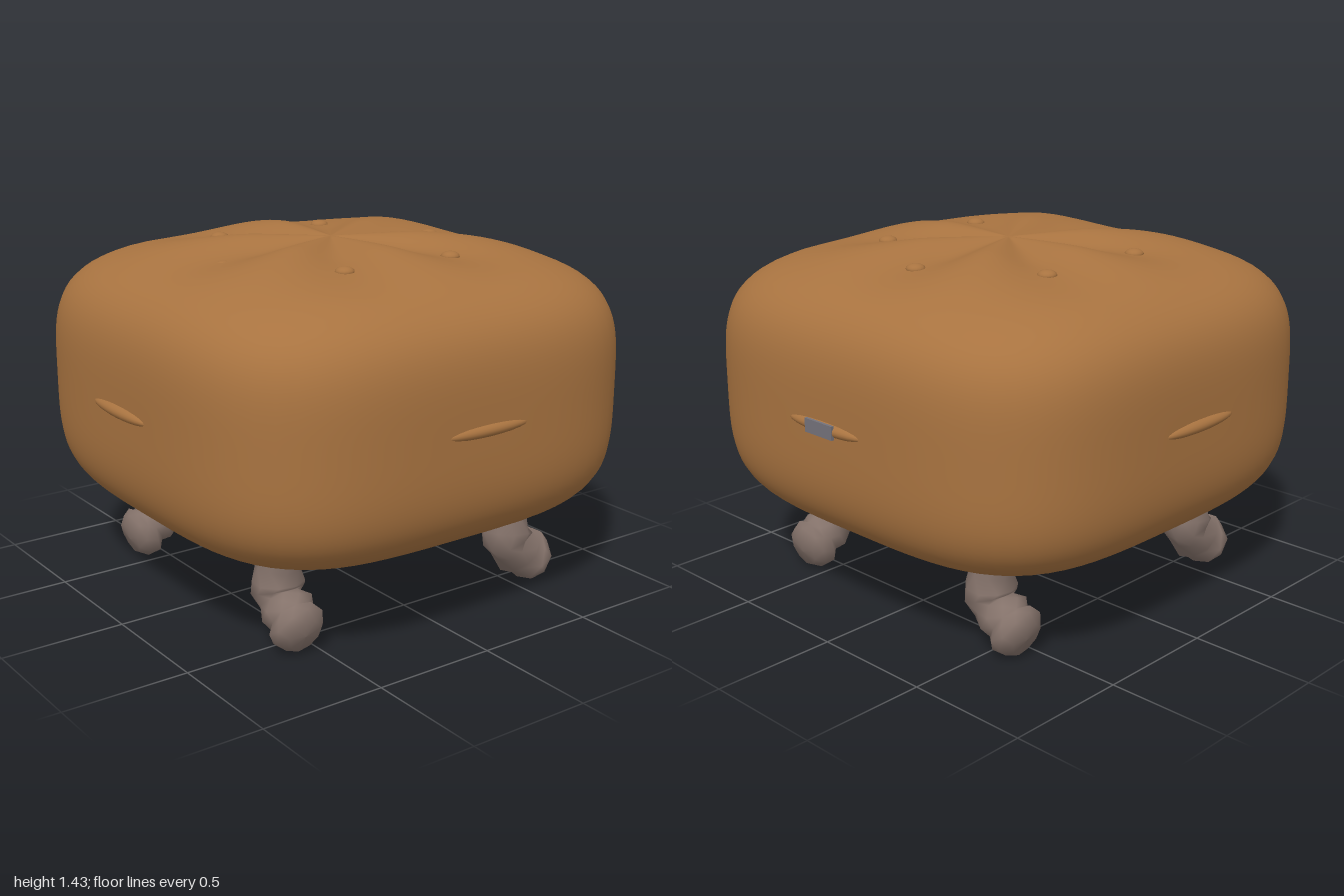
import * as THREE from 'three';
import { mergeVertices } from 'three/addons/utils/BufferGeometryUtils.js';

const mat = (name, color) => {
  const m = new THREE.MeshStandardMaterial({ color });
  m.name = name;
  return m;
};

// Height change of the tufted top: raised centre, six dips under the buttons
function tuft(x, z) {
  const r = Math.hypot(x, z);
  const a = Math.atan2(z, x);
  const fold = Math.min(1, r / 0.35) * Math.max(0, 1 - Math.pow(r / 0.85, 3));
  return 0.03 * Math.max(0, 1 - r / 0.9) - 0.026 * fold * Math.cos(6 * a);
}

const HALF = 0.975, HEIGHT = 0.545, MID = 0.845;

function topHeight(x, z) {
  const q = Math.pow(Math.abs(x / HALF), 3.7) + Math.pow(Math.abs(z / HALF), 3.7);
  return MID + HEIGHT * Math.pow(1 - Math.pow(q, 4 / 3.7), 0.25) + tuft(x, z);
}

// Soft square cushion: a sphere pushed out to a superellipsoid
function cushionGeometry() {
  let g = new THREE.SphereGeometry(1, 96, 80);
  g.deleteAttribute('uv');
  g.deleteAttribute('normal');
  g = mergeVertices(g, 1e-5);
  const p = g.attributes.position;
  for (let i = 0; i < p.count; i++) {
    const x = p.getX(i), y = p.getY(i), z = p.getZ(i);
    const plan = Math.pow(Math.pow(Math.abs(x), 3.7) + Math.pow(Math.abs(z), 3.7), 1 / 3.7);
    const k = 1 / Math.pow(Math.pow(plan, 4) + Math.pow(Math.abs(y), 4), 0.25);
    const px = x * k * HALF, pz = z * k * HALF;
    let py = MID + y * k * HEIGHT;
    if (y > 0) py += tuft(px, pz) * Math.pow(y * k, 4);
    p.setXYZ(i, px, py, pz);
  }
  g.computeVertexNormals();
  return g;
}

// Gnarled leg: rings of varying radius along a bent path [x, y, radius]
function legGeometry() {
  const path = [
    [0.48, 0.38, 0.08], [0.47, 0.31, 0.085], [0.46, 0.25, 0.1], [0.465, 0.21, 0.105],
    [0.485, 0.175, 0.085], [0.525, 0.145, 0.105], [0.555, 0.125, 0.09],
    [0.58, 0.11, 0.11], [0.615, 0.095, 0.105], [0.645, 0.085, 0.07], [0.65, 0.083, 0]
  ];
  const sides = 9, pos = [], idx = [];
  path.forEach(([x, y, r], i) => {
    const a = path[Math.max(0, i - 1)], b = path[Math.min(path.length - 1, i + 1)];
    const len = Math.hypot(b[0] - a[0], b[1] - a[1]);
    const nx = -(b[1] - a[1]) / len, ny = (b[0] - a[0]) / len;
    for (let j = 0; j < sides; j++) {
      const t = (j / sides) * Math.PI * 2 + i * 0.25;
      const rr = r * (1 + 0.06 * Math.sin(3 * t + i * 2));
      pos.push(x + nx * Math.cos(t) * rr, Math.max(0, y + ny * Math.cos(t) * rr), 0.58 + Math.sin(t) * rr);
      if (i < path.length - 1) {
        const c = i * sides + j, d = i * sides + (j + 1) % sides;
        idx.push(c, d, c + sides, d, d + sides, c + sides);
      }
    }
  });
  const g = new THREE.BufferGeometry();
  g.setAttribute('position', new THREE.Float32BufferAttribute(pos, 3));
  g.setIndex(idx);
  g.computeVertexNormals();
  return g;
}

export function createModel() {
  const model = new THREE.Group();
  model.name = 'ottoman';
  const leather = mat('tan leather', 0xa87340);
  const wood = mat('weathered wood', 0x84726a);
  wood.side = THREE.DoubleSide;
  const metal = mat('grey metal', 0x74727a);

  const add = (name, geometry, material, parent = model) => {
    const m = new THREE.Mesh(geometry, material);
    m.name = name;
    parent.add(m);
    return m;
  };

  add('cushion', cushionGeometry(), leather);

  // Ring of tufting buttons; the one on the right is sunk deeper
  const buttonGeo = new THREE.SphereGeometry(0.038, 14, 10);
  for (let i = 0; i < 6; i++) {
    const a = (i * Math.PI) / 3;
    const x = 0.505 * Math.cos(a), z = 0.505 * Math.sin(a);
    const b = add('button', buttonGeo, leather);
    b.position.set(x, topHeight(x, z) - (i === 3 ? 0.017 : 0), z);
    b.scale.y = 0.55;
  }

  // Slim raised pulls and legs, repeated every quarter turn
  const pullGeo = new THREE.SphereGeometry(1, 24, 12);
  const legGeo = legGeometry();
  for (let i = 0; i < 4; i++) {
    const side = new THREE.Group();
    side.name = 'quarter';
    side.rotation.y = (i * Math.PI) / 2;
    const pull = add('pull', pullGeo, leather, side);
    pull.scale.set(0.21, 0.027, 0.035);
    pull.position.set(0, 0.858, i === 0 ? 0.957 : 0.962);
    add('leg', legGeo, wood, side);
    model.add(side);
  }

  // Metal clasp on the left pull
  const clasp = add('clasp', new THREE.BoxGeometry(0.012, 0.054, 0.15), metal);
  clasp.position.set(0.992, 0.858, 0.005);

  return model;
}
